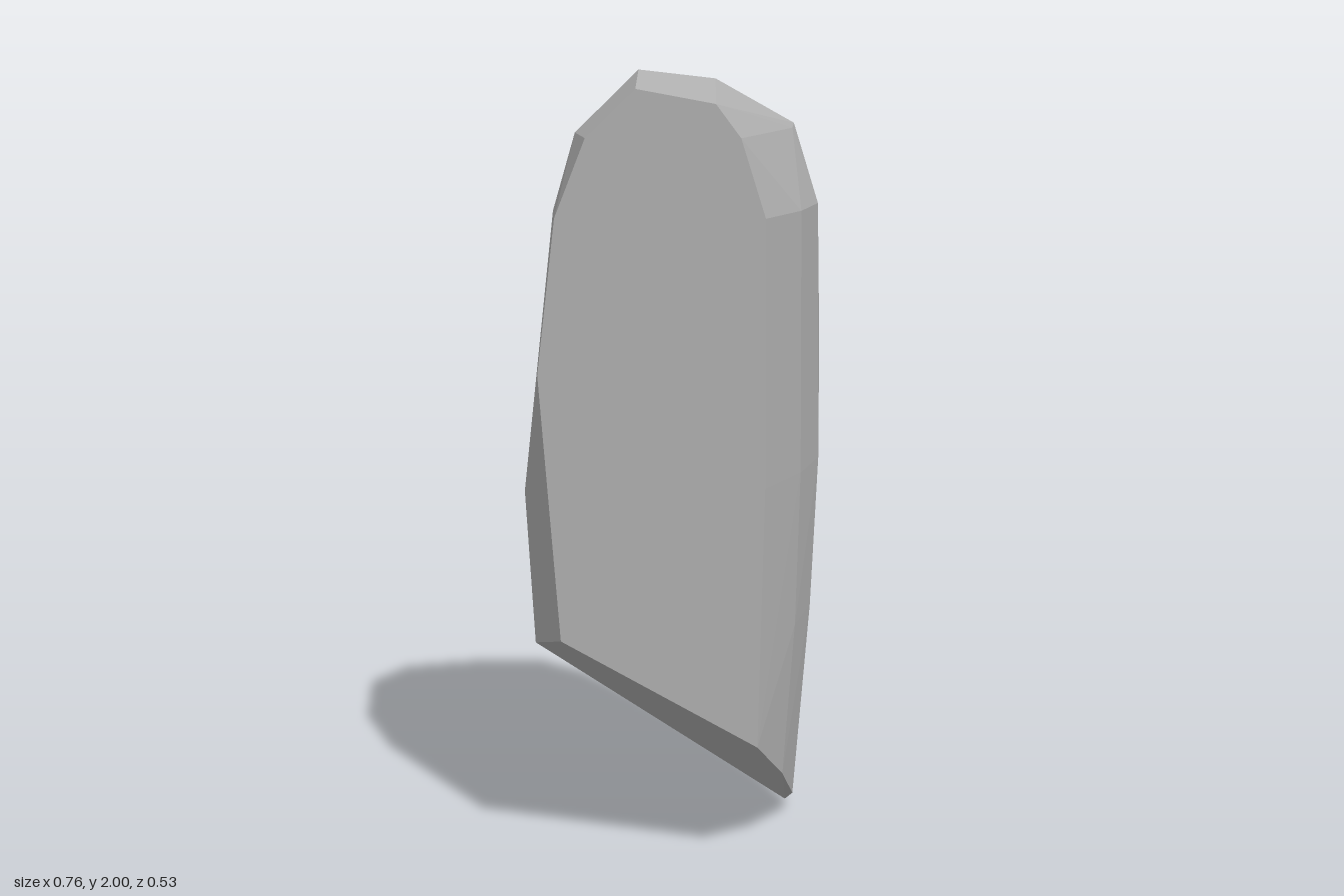
import * as THREE from 'three';
import { ConvexGeometry } from 'three/addons/geometries/ConvexGeometry.js';

export function createModel() {
  const stone = new THREE.MeshStandardMaterial({ color: 0xb0b0b0, flatShading: true });
  stone.name = 'grey stone';

  // Flat front face outline (x, y), all on one z plane
  const front = [
    [-0.09, 1.965], [0.10, 1.93], [0.16, 1.85], [0.22, 1.66], [0.224, 1.0],
    [0.21, 0.335], [-0.28, 0.61], [-0.33, 1.28], [-0.285, 1.66], [-0.21, 1.85],
  ].map(([x, y]) => new THREE.Vector3(x, y, 0.263));

  // Slanted back face outline (x, y), lying on a tilted plane
  const back = [
    [-0.09, 2.0], [0.10, 1.975], [0.30, 1.86], [0.36, 1.66], [0.375, 1.3],
    [0.377, 0.95], [0.36, 0.58], [0.337, 0.25], [0.30, 0], [-0.36, 0.54],
    [-0.38, 0.95], [-0.30, 1.66], [-0.245, 1.85],
  ].map(([x, y]) => new THREE.Vector3(x, y, -0.1385 - 0.415 * x + 0.0554 * y));

  // Bulging left flank between the two faces
  const flank = [
    [0.28, 0.2, 0.08], [0.316, 0.06, -0.15],
    [0.308, 0.6, 0.075], [0.355, 0.6, -0.12],
    [0.318, 1.0, 0.075], [0.372, 1.0, -0.12],
    [0.312, 1.66, 0.075], [0.362, 1.66, -0.12],
    [0.295, 1.85, -0.12],
  ].map((p) => new THREE.Vector3(...p));

  const slab = new THREE.Mesh(new ConvexGeometry([...front, ...back, ...flank]), stone);
  slab.name = 'stoneSlab';

  const group = new THREE.Group();
  group.name = 'standingStone';
  group.add(slab);
  return group;
}
